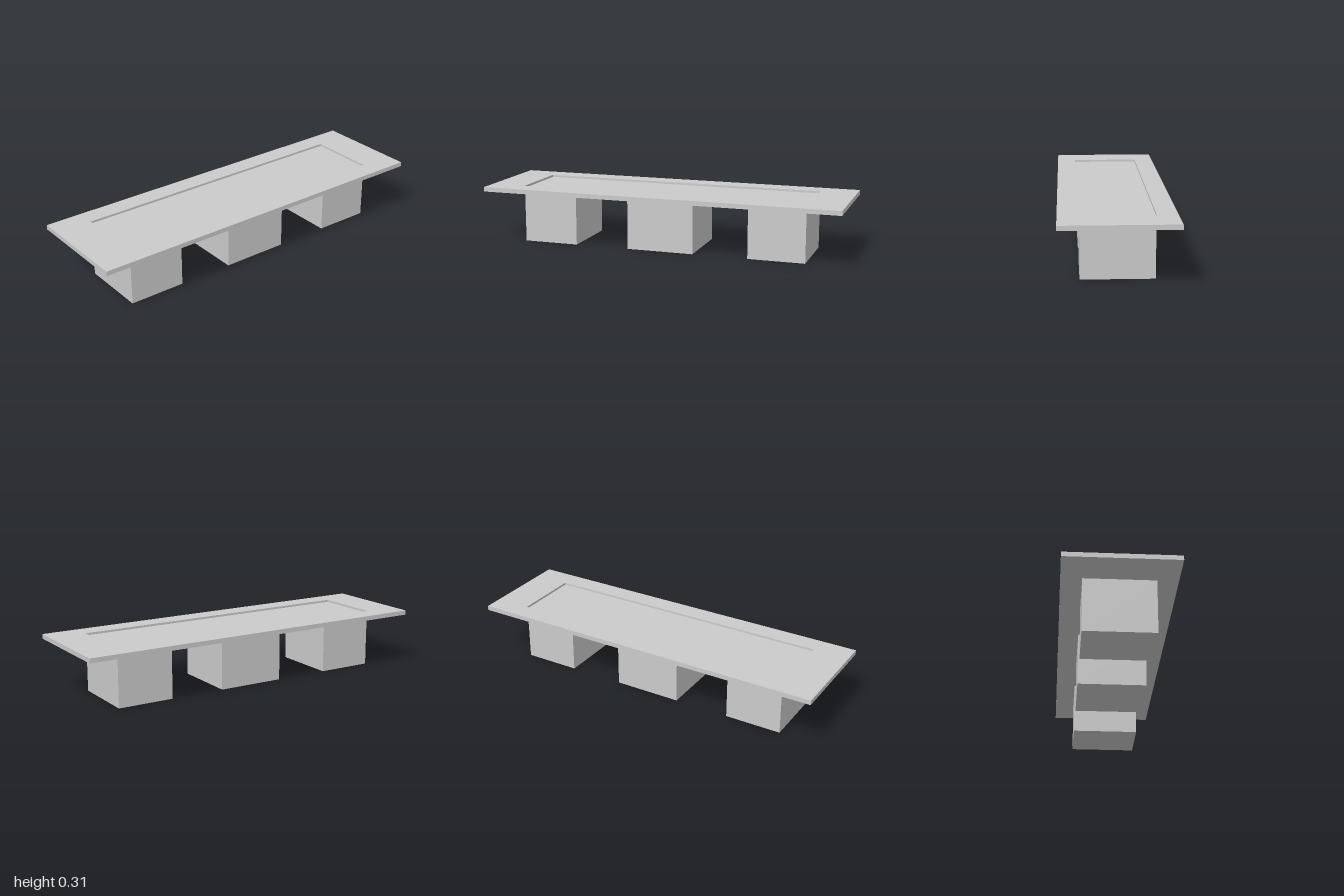
import * as THREE from 'three';

const UNDERSIDE = 0.29, TOP = 0.315, RECESS_FLOOR = 0.303;
const HALF_W = 0.293, HALF_L = 1;
const RECESS_W = 0.187, RECESS_L = 0.802;

// Traces a rectangle centred on the origin
function rectangle(path, hw, hl) {
  path.moveTo(-hw, -hl);
  path.lineTo(hw, -hl);
  path.lineTo(hw, hl);
  path.lineTo(-hw, hl);
  path.closePath();
  return path;
}

export function createModel() {
  const group = new THREE.Group();
  const material = new THREE.MeshStandardMaterial({ color: 0xcccccc, flatShading: true });

  const add = (name, geometry, x, y, z) => {
    const mesh = new THREE.Mesh(geometry, material);
    mesh.name = name;
    mesh.position.set(x, y, z);
    group.add(mesh);
  };

  // Table top: a flat frame around the recess
  const outline = rectangle(new THREE.Shape(), HALF_W, HALF_L);
  outline.holes.push(rectangle(new THREE.Path(), RECESS_W, RECESS_L));
  const frame = new THREE.ExtrudeGeometry(outline, { depth: TOP - UNDERSIDE, bevelEnabled: false });
  frame.rotateX(-Math.PI / 2);
  add('tableTopFrame', frame, 0, UNDERSIDE, 0);

  // Sunken centre panel
  const panelHeight = RECESS_FLOOR - UNDERSIDE;
  add('recessedPanel', new THREE.BoxGeometry(2 * RECESS_W, panelHeight, 2 * RECESS_L),
    0, UNDERSIDE + panelHeight / 2, 0);

  // Three block supports, the middle one longer
  const supports = [
    ['frontSupport', 0.645, 0.31],
    ['middleSupport', 0, 0.372],
    ['backSupport', -0.645, 0.31],
  ];
  for (const [name, z, length] of supports) {
    add(name, new THREE.BoxGeometry(0.37, UNDERSIDE, length), 0, UNDERSIDE / 2, z);
  }

  return group;
}
